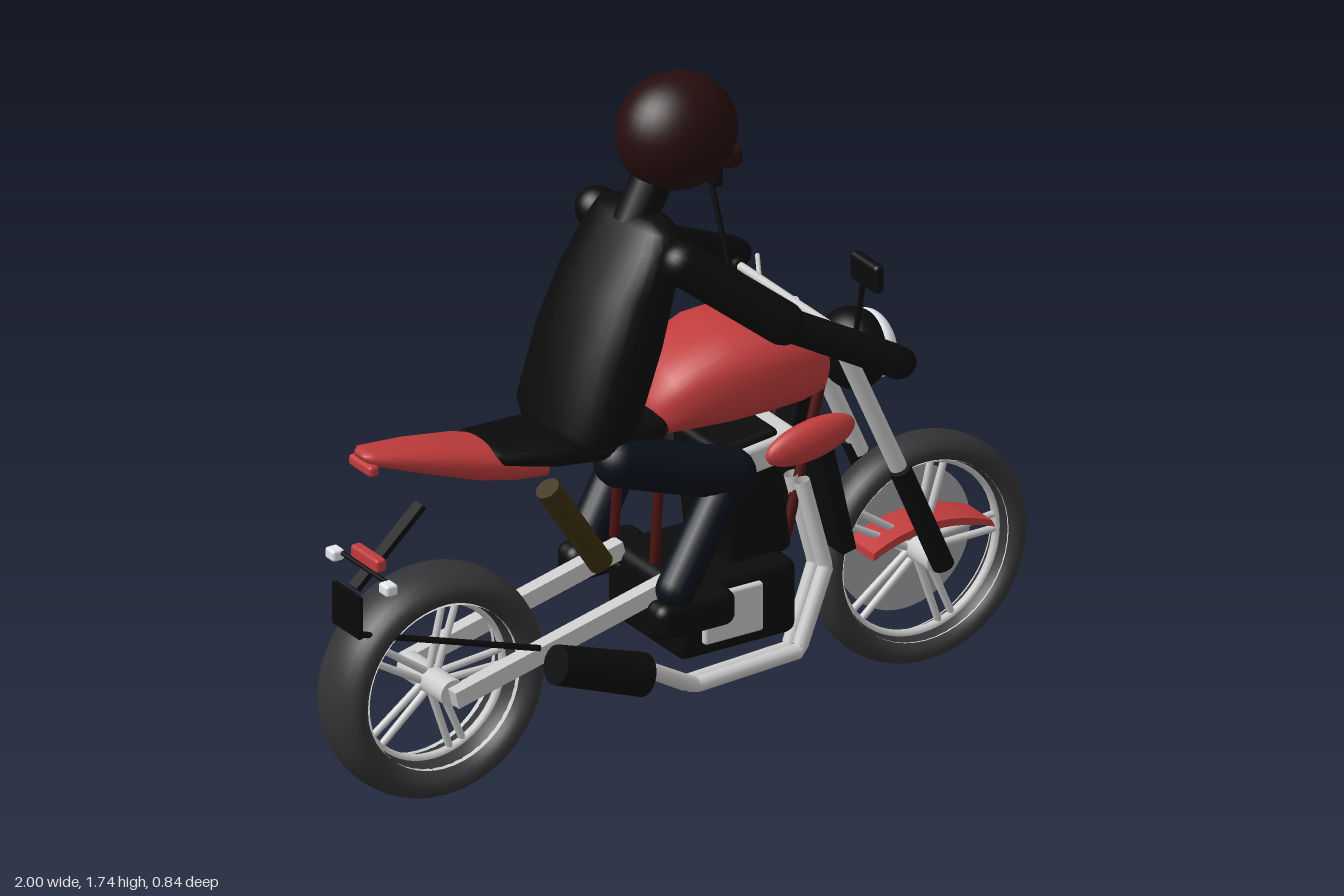
import * as THREE from 'three';
import { RoundedBoxGeometry } from 'three/addons/geometries/RoundedBoxGeometry.js';

const colours = {
  black: 0x0b0b0b, tyre: 0x343436, grey: 0xcccccc, red: 0xc03c3c, darkRed: 0x4a1210,
  navy: 0x0a0f19, helmet: 0x260d0d, brown: 0x3a2e0c, white: 0xe2e6ee, disc: 0xa4a4a8,
};
const mats = {};
for (const k in colours) mats[k] = new THREE.MeshStandardMaterial({ color: colours[k], side: THREE.DoubleSide });

const V = (a) => new THREE.Vector3(...a);
const UP = new THREE.Vector3(0, 1, 0);

export function createModel() {
  const model = new THREE.Group();
  model.name = 'motorcycleWithRider';

  const add = (name, geo, mat, pos = [0, 0, 0], rot = [0, 0, 0], parent = model) => {
    const m = new THREE.Mesh(geo, mats[mat]);
    m.name = name;
    m.position.set(...pos);
    m.rotation.set(...rot);
    parent.add(m);
    return m;
  };
  // Align a y-axis geometry between two points
  const between = (name, geo, mat, a, b, parent) => {
    const A = V(a), B = V(b);
    const m = add(name, geo, mat, A.clone().add(B).multiplyScalar(0.5).toArray(), [0, 0, 0], parent);
    m.quaternion.setFromUnitVectors(UP, B.sub(A).normalize());
    return m;
  };
  const dist = (a, b) => V(a).distanceTo(V(b));
  const rod = (name, a, b, r, mat, rEnd = r, parent) =>
    between(name, new THREE.CylinderGeometry(rEnd, r, dist(a, b), 16), mat, a, b, parent);
  const limb = (name, a, b, r, mat) =>
    between(name, new THREE.CapsuleGeometry(r, dist(a, b), 8, 18), mat, a, b);
  const beam = (name, a, b, w, d, mat) =>
    between(name, new THREE.BoxGeometry(w, dist(a, b), d), mat, a, b);
  const ball = (name, p, s, mat, rot) => {
    const m = add(name, new THREE.SphereGeometry(1, 32, 22), mat, p, rot);
    m.scale.set(...s);
    return m;
  };
  const block = (name, p, s, mat, r = 0.02, rot) =>
    add(name, new RoundedBoxGeometry(...s, 3, r), mat, p, rot);

  // Loft of superellipse sections [x, centreY, halfHeight, halfWidth] along x
  const loft = (sections, power = 2.4, n = 32) => {
    const pos = [], idx = [], e = 2 / power;
    const bend = (v) => Math.sign(v) * Math.abs(v) ** e;
    for (const [x, cy, h, w] of sections)
      for (let j = 0; j < n; j++) {
        const t = (j / n) * Math.PI * 2;
        pos.push(x, cy + h * bend(Math.cos(t)), w * bend(Math.sin(t)));
      }
    const last = sections.length - 1;
    for (let i = 0; i < last; i++)
      for (let j = 0; j < n; j++) {
        const a = i * n + j, b = i * n + ((j + 1) % n);
        idx.push(a, b, a + n, b, b + n, a + n);
      }
    for (const i of [0, last]) {
      const c = pos.length / 3;
      pos.push(sections[i][0], sections[i][1], 0);
      for (let j = 0; j < n; j++) {
        const a = i * n + j, b = i * n + ((j + 1) % n);
        idx.push(...(i ? [c, a, b] : [c, b, a]));
      }
    }
    const g = new THREE.BufferGeometry();
    g.setAttribute('position', new THREE.Float32BufferAttribute(pos, 3));
    g.setIndex(idx);
    g.computeVertexNormals();
    return g;
  };

  // Wheels: tyre, rim band and five paired spokes
  const wheel = (name, x, inner, halfWidth) => {
    const g = new THREE.Group();
    g.name = name;
    g.position.set(x, 0.3, 0);
    model.add(g);
    const tube = (0.3 - inner) / 2;
    const tyre = add('tyre', new THREE.TorusGeometry(inner + tube, tube, 20, 64), 'tyre', [0, 0, 0], [0, 0, 0], g);
    tyre.scale.z = halfWidth / tube;
    add('rim', new THREE.CylinderGeometry(inner + 0.008, inner + 0.008, halfWidth * 1.4, 48, 1, true), 'grey', [0, 0, 0], [Math.PI / 2, 0, 0], g);
    add('rimRing', new THREE.TorusGeometry(inner, 0.012, 10, 48), 'grey', [0, 0, 0], [0, 0, 0], g);
    add('hub', new THREE.CylinderGeometry(0.035, 0.035, 0.2, 24), 'grey', [0, 0, 0], [Math.PI / 2, 0, 0], g);
    for (let i = 0; i < 5; i++)
      for (const s of [-1, 1]) {
        const a = (i / 5) * Math.PI * 2 + 0.05;
        const p = (r, o) => [Math.cos(a) * r - Math.sin(a) * o * s, Math.sin(a) * r + Math.cos(a) * o * s, 0];
        rod('spoke', p(0.02, 0.012), p(inner, 0.02), 0.01, 'grey', 0.009, g);
      }
    return g;
  };
  wheel('rearWheel', -0.7, 0.208, 0.088);
  wheel('frontWheel', 0.7, 0.23, 0.057);
  add('brakeDisc', new THREE.CylinderGeometry(0.19, 0.19, 0.008, 48), 'disc', [0.7, 0.3, -0.062], [Math.PI / 2, 0, 0]);

  // Curved red guard inside the front wheel
  const guard = new THREE.Shape();
  guard.moveTo(-0.16, 0.02).quadraticCurveTo(0, 0.1, 0.19, 0.025);
  guard.lineTo(0.18, 0.045).quadraticCurveTo(0, 0.12, -0.16, 0.04);
  add('frontGuard', new THREE.ExtrudeGeometry(guard, { depth: 0.11, bevelEnabled: false, curveSegments: 12 }), 'red', [0.7, 0.3, -0.055]);

  // Paired chassis parts
  for (const s of [-1, 1]) {
    rod('forkTube', [0.4, 0.99, s * 0.1], [0.6, 0.54, s * 0.1], 0.022, 'grey');
    rod('forkLower', [0.58, 0.58, s * 0.11], [0.705, 0.29, s * 0.11], 0.028, 'black');
    beam('swingarm', [-0.71, 0.295, s * 0.115], [-0.08, 0.45, s * 0.115], 0.045, 0.038, 'grey');
    rod('frameTubeRear', [-0.09, 0.86, s * 0.09], [-0.115, 0.5, s * 0.09], 0.013, 'darkRed');
    rod('frameTubeFront', [0.38, 0.86, s * 0.07], [0.27, 0.44, s * 0.07], 0.014, 'darkRed');
    block('engineCover', [0.055, 0.355, s * 0.172], [0.17, 0.13, 0.03], 'grey', 0.008);
    ball('sideShroud', [0.28, 0.76, s * 0.175], [0.128, 0.052, 0.036], 'red', [0, 0, 0.15]);
    rod('mirrorStem', [0.34, 1.0, s * 0.27], [0.325, 1.25, s * 0.345], 0.007, 'black');
    block('mirror', [0.325, 1.272, s * 0.36], [0.028, 0.075, 0.122], 'black', 0.012);
    rod('grip', [0.385, 1.01, s * 0.3], [0.385, 1.01, s * 0.4], 0.018, 'black');
    rod('lever', [0.4, 1.0, s * 0.24], [0.465, 1.0, s * 0.35], 0.006, 'grey');
    block('indicator', [-0.9, 0.64, s * 0.12], [0.035, 0.03, 0.04], 'white', 0.008);
    rod('footPeg', [-0.08, 0.4, s * 0.1], [-0.08, 0.4, s * 0.22], 0.015, 'black');
  }
  rod('handlebar', [0.385, 1.01, -0.37], [0.385, 1.01, 0.37], 0.011, 'grey');
  block('forkClamp', [0.4, 0.97, 0], [0.06, 0.035, 0.25], 'black', 0.01, [0, 0, -0.4]);
  block('instrument', [0.42, 0.96, 0], [0.05, 0.04, 0.24], 'black', 0.012);

  // Headlight
  ball('headlightShell', [0.515, 0.878, 0], [0.085, 0.103, 0.103], 'black');
  ball('headlightLens', [0.57, 0.878, 0], [0.042, 0.086, 0.094], 'white');

  // Engine and cooling
  block('crankcase', [0.08, 0.35, 0], [0.34, 0.2, 0.345], 'black', 0.03);
  block('cylinderBlock', [0.165, 0.6, 0], [0.18, 0.34, 0.22], 'black', 0.02, [0, 0, 0.12]);
  block('cylinderHead', [0.2, 0.72, 0], [0.18, 0.075, 0.25], 'grey', 0.015, [0, 0, 0.12]);
  beam('radiator', [0.33, 0.72, 0], [0.395, 0.43, 0], 0.04, 0.345, 'black');
  beam('headStock', [0.4, 0.95, 0], [0.33, 0.7, 0], 0.045, 0.08, 'black');

  // Exhaust
  for (const [z, k] of [[0.1, 0], [0.145, 0.012]]) {
    const path = new THREE.CurvePath();
    const pts = [[0.3, 0.62, z - 0.04], [0.355, 0.38, z - 0.02], [0.265, 0.175 + k, z], [-0.04, 0.165 + k, z + 0.01], [-0.23, 0.29, 0.185]].map(V);
    for (let i = 0; i < 4; i++) path.add(new THREE.LineCurve3(pts[i], pts[i + 1]));
    add('exhaustPipe', new THREE.TubeGeometry(path, 60, 0.02, 12), 'grey');
  }
  rod('muffler', [-0.465, 0.355, 0.195], [-0.215, 0.265, 0.195], 0.05, 'black', 0.055);
  rod('rearShock', [-0.365, 0.725, 0], [-0.21, 0.485, 0], 0.032, 'brown');

  // Bodywork
  add('fuelTank', loft([
    [-0.113, 0.87, 0.025, 0.04], [-0.1, 0.878, 0.055, 0.085], [-0.06, 0.9, 0.085, 0.12], [0, 0.92, 0.105, 0.145],
    [0.1, 0.935, 0.122, 0.167], [0.2, 0.937, 0.122, 0.173], [0.29, 0.93, 0.112, 0.165],
    [0.35, 0.918, 0.092, 0.145], [0.385, 0.905, 0.06, 0.1], [0.39, 0.905, 0.03, 0.05],
  ], 2.6), 'red');
  add('tail', loft([
    [-0.905, 0.95, 0.008, 0.025], [-0.885, 0.945, 0.019, 0.048], [-0.75, 0.912, 0.038, 0.072], [-0.6, 0.872, 0.05, 0.097],
    [-0.5, 0.845, 0.046, 0.095], [-0.41, 0.82, 0.035, 0.08], [-0.39, 0.81, 0.015, 0.04],
  ]), 'red');
  add('seat', loft([
    [-0.6, 0.895, 0.01, 0.04], [-0.55, 0.882, 0.028, 0.1], [-0.4, 0.86, 0.04, 0.125], [-0.25, 0.845, 0.045, 0.13],
    [-0.1, 0.85, 0.05, 0.11], [-0.04, 0.86, 0.03, 0.07],
  ]), 'black');
  block('tailLamp', [-0.893, 0.922, 0], [0.03, 0.03, 0.1], 'red', 0.01);

  // Plate carrier
  beam('plateArm', [-0.73, 0.775, 0], [-0.92, 0.6, 0], 0.015, 0.035, 'black');
  beam('numberPlate', [-0.94, 0.6, 0], [-0.94, 0.49, 0], 0.012, 0.12, 'black');
  rod('plateStay', [-0.94, 0.5, 0.05], [-0.47, 0.375, 0.13], 0.008, 'black');
  block('brakeLamp', [-0.88, 0.67, 0], [0.03, 0.035, 0.12], 'red', 0.008);
  rod('indicatorBar', [-0.89, 0.645, -0.11], [-0.89, 0.645, 0.11], 0.006, 'black');

  // Rider torso, lofted upward then turned upright
  const torso = add('torso', loft([
    [0.86, 0.275, 0.07, 0.13], [0.88, 0.28, 0.105, 0.17], [0.92, 0.275, 0.118, 0.185], [1.1, 0.215, 0.12, 0.188],
    [1.25, 0.16, 0.105, 0.178], [1.35, 0.115, 0.078, 0.165], [1.395, 0.105, 0.055, 0.145], [1.41, 0.1, 0.03, 0.08],
  ], 2.5), 'black');
  torso.rotation.z = Math.PI / 2;
  rod('neck', [-0.12, 1.37, 0], [-0.04, 1.52, 0], 0.052, 'black');
  ball('helmet', [0.007, 1.59, 0], [0.156, 0.148, 0.135], 'helmet');
  block('chinGuard', [0.125, 1.512, 0], [0.06, 0.055, 0.16], 'helmet', 0.02);

  // Rider limbs; the right knee swings out wider
  for (const s of [-1, 1]) {
    const shoulder = [-0.1, 1.335, s * 0.19], elbow = [0.13, 1.155, s * 0.285], hand = [0.395, 1.02, s * 0.365];
    limb('upperArm', shoulder, elbow, 0.055, 'black');
    limb('forearm', elbow, hand, 0.042, 'black');
    ball('glove', [0.41, 1.01, s * 0.37], [0.045, 0.04, 0.037], 'black');
    const hip = [-0.22, 0.8, s * 0.1], knee = [0.07, 0.71, s > 0 ? 0.14 : -0.26], ankle = [-0.12, 0.47, s * 0.195];
    limb('thigh', hip, knee, 0.066, 'navy');
    limb('shin', knee, ankle, 0.05, 'navy');
    block('boot', [-0.08, 0.4, s * 0.2], [0.225, 0.095, 0.085], 'black', 0.03);
  }
  return model;
}
